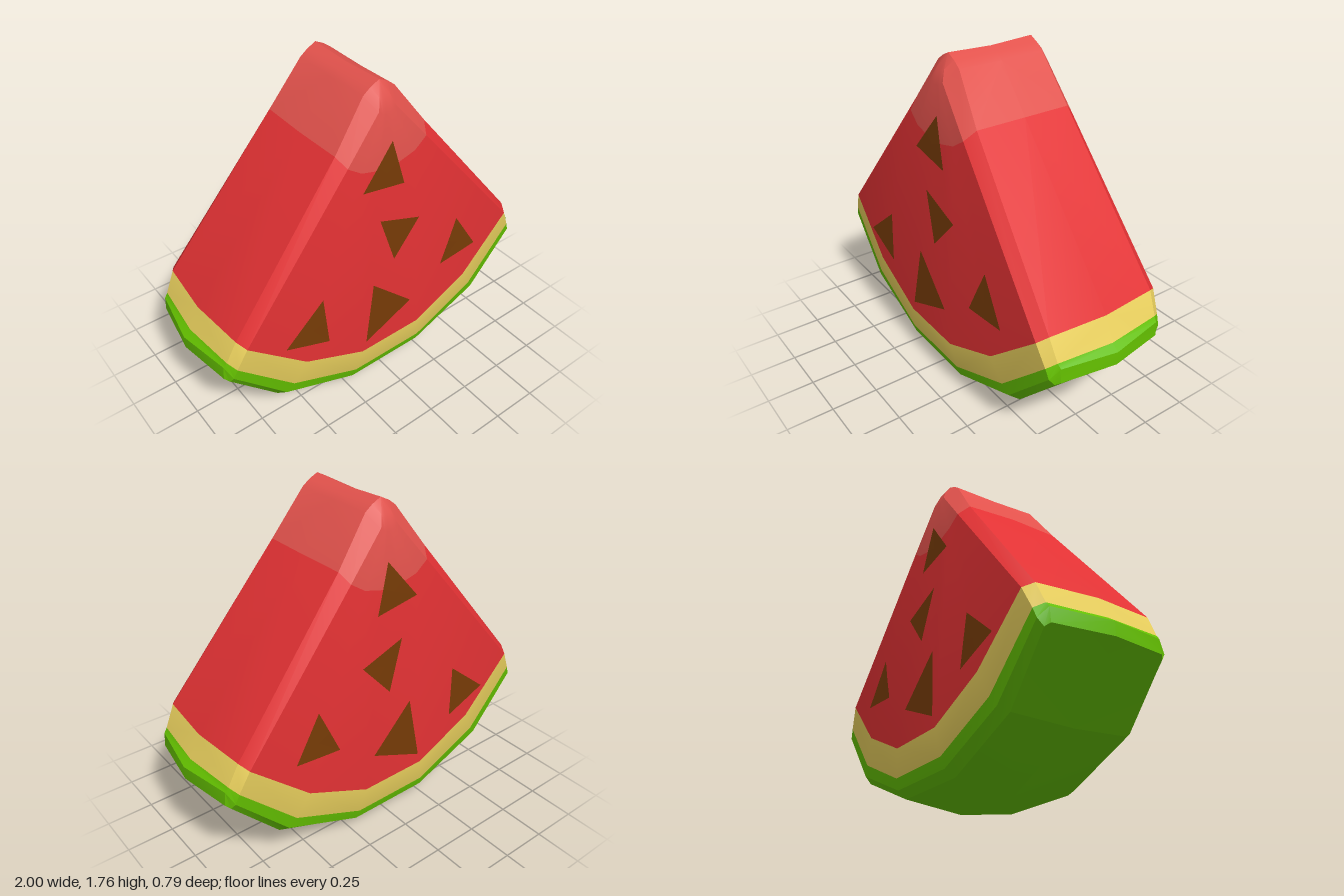
import * as THREE from 'three';
import { toCreasedNormals } from 'three/addons/utils/BufferGeometryUtils.js';

const mat = (name, color, side = THREE.FrontSide) => {
  const m = new THREE.MeshStandardMaterial({ color, side });
  m.name = name;
  return m;
};

// Quarter cross-sections from the tip down: front centre, front mid, front edge, side edge, side middle
const RINGS = [
  [[0, 1.76, 0.24], [0, 1.76, 0.24], [0, 1.76, 0.24], [0, 1.76, 0.24], [0, 1.75, 0]],
  [[0, 1.69, 0.288], [0.015, 1.69, 0.288], [0.03, 1.695, 0.283], [0.05, 1.735, 0.24], [0.05, 1.727, 0]],
  [[0.015, 1.62, 0.31], [0.03, 1.625, 0.31], [0.05, 1.64, 0.305], [0.09, 1.705, 0.24], [0.09, 1.7, 0]],
  [[0.06, 1.345, 0.33], [0.16, 1.37, 0.328], [0.235, 1.42, 0.32], [0.265, 1.47, 0.265], [0.275, 1.475, 0]],
  [[0.19, 0.27, 0.395], [0.54, 0.42, 0.385], [0.85, 0.692, 0.362], [0.878, 0.718, 0.31], [0.905, 0.72, 0]],
  [[0.22, 0.13, 0.377], [0.61, 0.29, 0.367], [0.905, 0.578, 0.348], [0.932, 0.603, 0.3], [0.962, 0.6, 0]],
  [[0.23, 0.075, 0.36], [0.65, 0.24, 0.355], [0.925, 0.527, 0.342], [0.95, 0.58, 0.295], [1.0, 0.57, 0]],
  [[0.24, 0.04, 0.31], [0.68, 0.212, 0.31], [0.935, 0.49, 0.315], [0.955, 0.505, 0.295], [1.0, 0.5, 0]],
  [[0.24, 0, 0], [0.7, 0.19, 0], [1.0, 0.5, 0], [1.0, 0.5, 0], [1.0, 0.5, 0]],
];

// Mirror a quarter section into a closed loop
function fullRing(q) {
  const m = (p, sx, sz) => [p[0] * sx, p[1], p[2] * sz];
  const back = q.slice(0, 4).reverse();
  return [
    ...q.map(p => m(p, 1, 1)), ...back.map(p => m(p, 1, -1)),
    ...q.map(p => m(p, -1, -1)), ...back.map(p => m(p, -1, 1)),
  ];
}

// Skin all rings as one body so normals flow across the colour bands
function bodyGeometry() {
  const rings = RINGS.map(fullRing), n = rings[0].length, pos = [];
  for (let r = 0; r < rings.length - 1; r++) {
    const up = rings[r], low = rings[r + 1];
    for (let j = 0; j < n; j++) {
      const k = (j + 1) % n, a = low[j], b = low[k], c = up[k], d = up[j];
      const tris = j % 9 >= 4 ? [a, b, d, b, c, d] : [a, b, c, a, c, d];
      tris.forEach(p => pos.push(...p));
    }
  }
  const geo = new THREE.BufferGeometry();
  geo.setAttribute('position', new THREE.Float32BufferAttribute(pos, 3));
  return { geo, rowSize: n * 6 };
}

// Cut a range of rows out of the body
function band(geo, start, end) {
  const g = new THREE.BufferGeometry();
  for (const key of ['position', 'normal']) {
    const arr = geo.getAttribute(key).array.slice(start * 3, end * 3);
    g.setAttribute(key, new THREE.BufferAttribute(arr, 3));
  }
  return g;
}

const SEEDS = [
  [[0.02, 1.475], [-0.16, 1.26], [0.09, 1.22]],
  [[-0.06, 1.06], [0.025, 0.79], [0.19, 0.975]],
  [[-0.42, 0.76], [-0.65, 0.57], [-0.4, 0.48]],
  [[-0.11, 0.685], [-0.168, 0.33], [0.135, 0.455]],
  [[0.46, 0.84], [0.35, 0.59], [0.605, 0.61]],
];

// Thin triangular seed laid over the face; side is +1 front, -1 back
function seedGeometry(corners, side, depthAt) {
  const mid = (p, q) => [(p[0] + q[0]) / 2, (p[1] + q[1]) / 2];
  const [a, b, c] = corners;
  const rim = [a, mid(a, b), b, mid(b, c), c, mid(c, a)];
  const centre = [(a[0] + b[0] + c[0]) / 3, (a[1] + b[1] + c[1]) / 3];
  const pos = [];
  rim.forEach((p, i) => {
    const q = rim[(i + 1) % rim.length];
    const tri = side > 0 ? [centre, p, q] : [centre, q, p];
    tri.forEach(([x, y]) => pos.push(x, y, side * (depthAt(x, y) + 0.005)));
  });
  const g = new THREE.BufferGeometry();
  g.setAttribute('position', new THREE.Float32BufferAttribute(pos, 3));
  g.computeVertexNormals();
  return g;
}

export function createModel() {
  const model = new THREE.Group();
  model.name = 'melonSlice';
  const add = (name, geo, material) => {
    const mesh = new THREE.Mesh(geo, material);
    mesh.name = name;
    model.add(mesh);
    return mesh;
  };

  // Coloured bands of the wedge: soft ridges on the flesh, crisp facets on the rind
  const { geo, rowSize } = bodyGeometry();
  const soft = toCreasedNormals(geo, 1.15), crisp = toCreasedNormals(geo, 0.4);
  const bands = [
    ['tip', soft, 0, 3, mat('paleRed', 0xe2524c)],
    ['flesh', soft, 3, 4, mat('red', 0xe43234)],
    ['innerRind', soft, 4, 5, mat('cream', 0xe6cd5c)],
    ['outerRind', crisp, 5, 8, mat('green', 0x64c000)],
  ].map(([name, g, from, to, m]) => add(name, band(g, from * rowSize, to * rowSize), m));

  // Seeds follow the face depth, mirrored front to back
  const ray = new THREE.Raycaster();
  const depthAt = (x, y) => {
    ray.set(new THREE.Vector3(x, y, 2), new THREE.Vector3(0, 0, -1));
    const hit = ray.intersectObjects(bands.slice(0, 2))[0];
    return hit ? hit.point.z : 0.36;
  };
  const brown = mat('brown', 0x743a06, THREE.DoubleSide);
  for (const side of [1, -1]) {
    SEEDS.forEach((s, i) =>
      add(`${side > 0 ? 'front' : 'back'}Seed${i + 1}`, seedGeometry(s, side, depthAt), brown));
  }
  return model;
}
